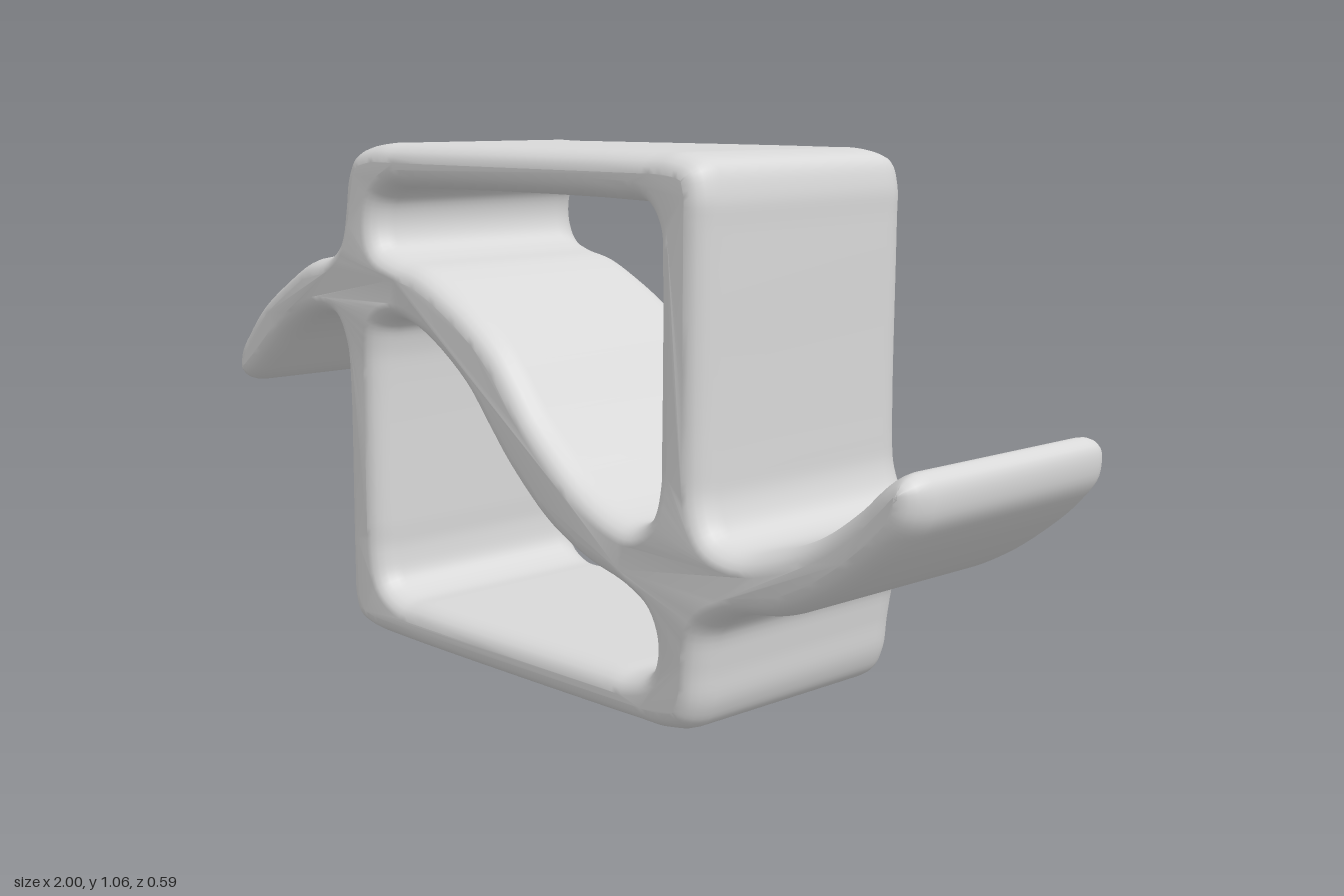
import * as THREE from 'three';
import { mergeVertices } from 'three/addons/utils/BufferGeometryUtils.js';

const HALF_DEPTH = 0.285, BEVEL = 0.038, ROUND = 0.06;

// Smooth closed loop through a few profile points
function loop(points) {
  const curve = new THREE.CatmullRomCurve3(
    points.map(([x, y]) => new THREE.Vector3(x, y, 0)), true, 'centripetal');
  const pts = curve.getPoints(points.length * 5).map(p => new THREE.Vector2(p.x, p.y));
  pts.pop();
  return pts;
}

export function createModel() {
  const group = new THREE.Group();
  group.name = 'waveThroughFrame';
  const grey = new THREE.MeshStandardMaterial({ color: 0xd8d8d8 });
  grey.name = 'grey';

  // Outer edge, clockwise: square frame with a wave tail leaving on each side
  const outline = new THREE.Shape(loop([
    [-0.44, 1.06], [-0.36, 1.06], [0.38, 1.06], [0.45, 1.058], [0.505, 1.04], [0.524, 0.99], [0.525, 0.92],
    [0.525, 0.52], [0.53, 0.44], [0.555, 0.39], [0.61, 0.372], [0.69, 0.387], [0.785, 0.428], [0.87, 0.49],
    [0.93, 0.545], [0.968, 0.563], [0.995, 0.545], [0.995, 0.49], [0.96, 0.44], [0.9, 0.385], [0.81, 0.32],
    [0.71, 0.273], [0.6, 0.25], [0.54, 0.21], [0.524, 0.14], [0.515, 0.065], [0.49, 0.02], [0.43, 0.002],
    [0.36, 0], [-0.42, 0], [-0.48, 0.004], [-0.53, 0.022], [-0.552, 0.07], [-0.555, 0.14],
    [-0.555, 0.56], [-0.56, 0.63], [-0.585, 0.677], [-0.635, 0.688], [-0.71, 0.67], [-0.79, 0.625], [-0.87, 0.56],
    [-0.93, 0.515], [-0.97, 0.502], [-0.997, 0.525], [-0.99, 0.58], [-0.955, 0.625], [-0.89, 0.69], [-0.79, 0.755],
    [-0.7, 0.8], [-0.61, 0.82], [-0.568, 0.855], [-0.555, 0.92], [-0.545, 0.99], [-0.515, 1.04]]));

  // Openings above and below the wave, both counter-clockwise
  outline.holes.push(
    new THREE.Path(loop([
      [-0.3, 0.97], [-0.385, 0.966], [-0.425, 0.94], [-0.436, 0.89], [-0.42, 0.845], [-0.37, 0.822], [-0.29, 0.805],
      [-0.2, 0.765], [-0.12, 0.72], [-0.04, 0.66], [0.06, 0.545], [0.12, 0.49], [0.2, 0.43], [0.29, 0.387],
      [0.35, 0.378], [0.395, 0.405], [0.41, 0.46], [0.41, 0.53], [0.41, 0.86], [0.405, 0.925], [0.375, 0.964], [0.31, 0.97]])),
    new THREE.Path(loop([
      [-0.44, 0.25], [-0.44, 0.18], [-0.425, 0.122], [-0.375, 0.093], [-0.3, 0.09], [0.27, 0.09], [0.34, 0.091],
      [0.39, 0.112], [0.405, 0.165], [0.385, 0.22], [0.33, 0.25], [0.235, 0.275], [0.16, 0.305], [0.09, 0.345],
      [-0.016, 0.435], [-0.085, 0.51], [-0.15, 0.58], [-0.28, 0.665], [-0.375, 0.694], [-0.42, 0.675], [-0.435, 0.63], [-0.44, 0.55]])));

  let geo = new THREE.ExtrudeGeometry(outline, {
    depth: 2 * (HALF_DEPTH - ROUND), bevelEnabled: true, bevelSize: BEVEL,
    bevelOffset: -BEVEL, bevelThickness: ROUND, bevelSegments: 5 });
  geo.translate(0, 0, ROUND - HALF_DEPTH);

  // Slight swelling where the wave meets the frame
  const pos = geo.attributes.position;
  for (let i = 0; i < pos.count; i++) {
    const x = pos.getX(i), y = pos.getY(i);
    const d = Math.min(Math.hypot(x + 0.5, y - 0.76), Math.hypot(x - 0.47, y - 0.31));
    pos.setZ(i, pos.getZ(i) * (1 + 0.04 * Math.exp(-((d / 0.13) ** 2))));
  }

  // Share vertices for soft shading
  geo.deleteAttribute('normal');
  geo.deleteAttribute('uv');
  geo.clearGroups();
  geo = mergeVertices(geo, 1e-4);
  geo.computeVertexNormals();

  const body = new THREE.Mesh(geo, grey);
  body.name = 'frameAndWave';
  group.add(body);
  return group;
}
